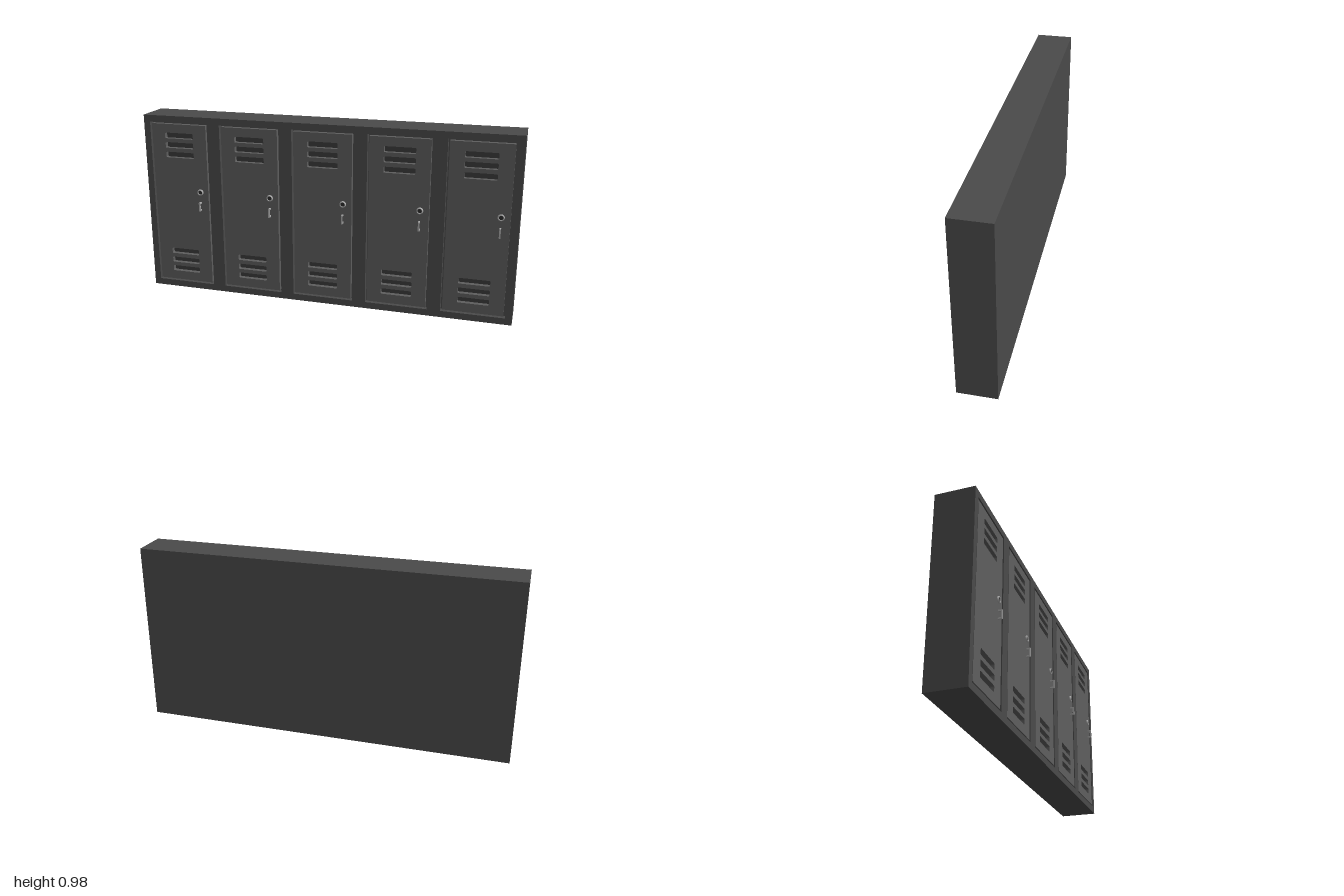
import * as THREE from 'three';

const mat = (color) => new THREE.MeshStandardMaterial({ color });
const H = 0.98, FRONT = 0.09, BACK = -0.11, RECESS = 0.03;
const DOOR_Y = 0.49;

function add(parent, name, geometry, material, x = 0, y = 0, z = 0) {
  const mesh = new THREE.Mesh(geometry, material);
  mesh.name = name;
  mesh.position.set(x, y, z);
  parent.add(mesh);
  return mesh;
}

// Rectangle outline centred on (x, y), with optional rounded corners
function rect(target, x, y, w, h, r = 0) {
  const a = w / 2, b = h / 2;
  if (r === 0) {
    target.moveTo(x - a, y - b).lineTo(x + a, y - b).lineTo(x + a, y + b).lineTo(x - a, y + b).closePath();
    return target;
  }
  target.moveTo(x - a + r, y - b);
  target.lineTo(x + a - r, y - b);
  target.absarc(x + a - r, y - b + r, r, -Math.PI / 2, 0);
  target.absarc(x + a - r, y + b - r, r, 0, Math.PI / 2);
  target.absarc(x - a + r, y + b - r, r, Math.PI / 2, Math.PI);
  target.absarc(x - a + r, y - b + r, r, Math.PI, Math.PI * 1.5);
  return target;
}

const extrude = (shape, depth) =>
  new THREE.ExtrudeGeometry(shape, { depth, bevelEnabled: false, curveSegments: 5 });

export function createModel() {
  const group = new THREE.Group();
  group.name = 'lockers';
  const frameMat = mat(0x4a4a4a), doorMat = mat(0x5e5e5e), darkMat = mat(0x3a3a3a);
  const metalMat = mat(0xaaaaaa), coreMat = mat(0x2c2c2c);
  const centres = [-0.8, -0.4, 0, 0.4, 0.8];

  // Solid cabinet behind the doors
  const depth = FRONT - RECESS - BACK;
  add(group, 'cabinetBody', new THREE.BoxGeometry(2, H, depth), frameMat, 0, H / 2, BACK + depth / 2);

  // Face frame with one opening per door
  const face = rect(new THREE.Shape(), 0, H / 2, 2, H);
  for (const x of centres) face.holes.push(rect(new THREE.Path(), x, DOOR_Y, 0.33, 0.91));
  add(group, 'faceFrame', extrude(face, RECESS), frameMat, 0, 0, FRONT - RECESS);

  // Door panel with two sets of three vent slots
  const panel = rect(new THREE.Shape(), 0, DOOR_Y, 0.312, 0.892);
  for (const y of [0.873, 0.821, 0.768, 0.214, 0.161, 0.109]) {
    panel.holes.push(rect(new THREE.Path(), 0, y, 0.162, 0.031, 0.006));
  }
  const doorGeo = extrude(panel, 0.024);
  const ventGeo = new THREE.PlaneGeometry(0.2, 0.2);

  // Lock: rounded metal ring around a dark keyhole core
  const ringProfile = [[0.011, 0], [0.011, 0.006], [0.012, 0.008], [0.014, 0.008], [0.017, 0.005], [0.0175, 0]];
  const ringGeo = new THREE.LatheGeometry(ringProfile.map(([r, y]) => new THREE.Vector2(r, y)).reverse(), 24);
  ringGeo.rotateX(Math.PI / 2);
  const coreGeo = new THREE.CylinderGeometry(0.0115, 0.0115, 0.005, 24).rotateX(Math.PI / 2);
  metalMat.side = THREE.DoubleSide;

  // Bracket handle, drawn in side profile then turned to face outward
  const handle = new THREE.Shape();
  handle.moveTo(0, -0.024).lineTo(0.023, -0.024).lineTo(0.023, 0.024).lineTo(0, 0.024);
  handle.lineTo(0, 0.016).lineTo(0.016, 0.016).lineTo(0.016, -0.016).lineTo(0, -0.016).closePath();
  const handleGeo = extrude(handle, 0.008).translate(0, 0, -0.004).rotateY(-Math.PI / 2);

  centres.forEach((x) => {
    const door = new THREE.Group();
    door.name = 'door';
    door.position.x = x;
    group.add(door);
    add(door, 'doorPanel', doorGeo, doorMat, 0, 0, FRONT - 0.026);
    for (const y of [0.82, 0.161]) add(door, 'ventBacking', ventGeo, darkMat, 0, y, FRONT - 0.0275);
    add(door, 'lockRing', ringGeo, metalMat, 0.11, 0.568, FRONT - 0.002);
    add(door, 'lockCore', coreGeo, coreMat, 0.11, 0.568, FRONT);
    add(door, 'handle', handleGeo, metalMat, 0.11, 0.49, FRONT - 0.003);
  });
  return group;
}
